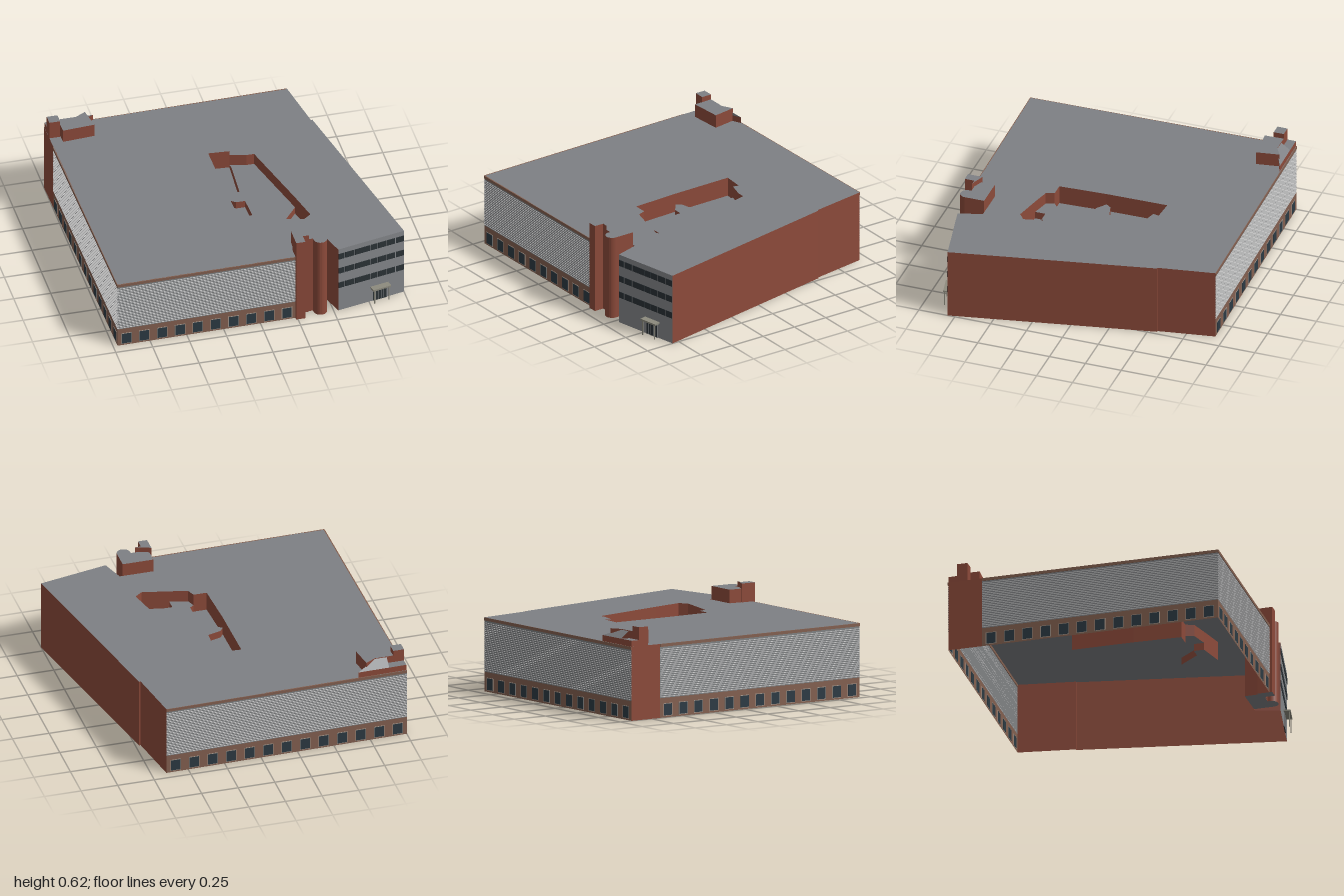
import * as THREE from 'three';

const mat = (color) => new THREE.MeshStandardMaterial({ color, side: THREE.DoubleSide, flatShading: true });
const M = {
  roof: mat(0x7e8084), brick: mat(0x8c4a3a), base: mat(0x836050), metal: mat(0x808284),
  slat: mat(0xc4c6c8), glass: mat(0x2c3a43), frame: mat(0xa3958a), office: mat(0x84878a),
  dark: mat(0x2b3236), canopy: mat(0x8d8b7e),
};
const H = 0.49;

function add(parent, name, geo, material, x = 0, y = 0, z = 0) {
  const m = new THREE.Mesh(geo, material);
  m.name = name;
  m.position.set(x, y, z);
  parent.add(m);
  return m;
}

// plan points are [x, z]; shapes are drawn in x, -z and laid flat
const plan = (pts) => new THREE.Shape(pts.map(([x, z]) => new THREE.Vector2(x, -z)));

function slab(parent, name, pts, y, hole) {
  const s = plan(pts);
  if (hole) s.holes.push(plan(hole));
  add(parent, name, new THREE.ShapeGeometry(s).rotateX(-Math.PI / 2), M.roof, 0, y);
}

function prism(parent, name, pts, y0, y1) {
  const g = new THREE.ExtrudeGeometry(plan(pts), { depth: y1 - y0, bevelEnabled: false });
  add(parent, name, g.rotateX(-Math.PI / 2), [M.roof, M.brick], 0, y0);
}

// wall frame: local x runs from a to b, local z points outwards
function wall(parent, name, a, b) {
  const g = new THREE.Group();
  const dx = b[0] - a[0], dz = b[1] - a[1];
  g.name = name;
  g.position.set(a[0], 0, a[1]);
  g.rotation.y = Math.atan2(-dz, dx);
  g.userData.len = Math.hypot(dx, dz);
  parent.add(g);
  return g;
}

function panel(g, name, x0, x1, y0, y1, material, z = 0) {
  add(g, name, new THREE.PlaneGeometry(x1 - x0, y1 - y0), material, (x0 + x1) / 2, (y0 + y1) / 2, z);
}

function bar(g, name, x0, x1, y0, y1, z0, z1, material) {
  add(g, name, new THREE.BoxGeometry(x1 - x0, y1 - y0, z1 - z0), material,
    (x0 + x1) / 2, (y0 + y1) / 2, (z0 + z1) / 2);
}

function brickWall(parent, name, a, b, y0 = 0, y1 = H) {
  const g = wall(parent, name, a, b);
  panel(g, name + 'Face', 0, g.userData.len, y0, y1, M.brick);
}

// closed run of brick walls
function ring(parent, name, pts, y0, y1) {
  pts.forEach((p, i) => brickWall(parent, name, p, pts[(i + 1) % pts.length], y0, y1));
}

// facade with a windowed base, slatted cladding and a cornice
function slattedWall(parent, name, a, b, count) {
  const g = wall(parent, name, a, b), L = g.userData.len;
  panel(g, 'base', 0, L, 0, 0.13, M.base);
  panel(g, 'cladding', 0, L, 0.13, 0.47, M.metal);
  bar(g, 'cornice', 0, L, 0.47, H, -0.004, 0.004, M.base);
  const rows = 26;
  for (let i = 0; i < rows; i++) {
    const y = 0.137 + (i * 0.328) / rows;
    bar(g, 'slat', 0, L, y, y + 0.004, 0, 0.003, M.slat);
  }
  const step = L / count;
  for (let i = 0; i < count; i++) {
    const x = (i + 0.5) * step;
    bar(g, 'windowFrame', x - 0.036, x + 0.036, 0.01, 0.094, -0.002, 0.002, M.frame);
    bar(g, 'window', x - 0.032, x + 0.032, 0.014, 0.09, -0.003, 0.003, M.glass);
  }
}

// office front with window bands, entrance and canopy
function officeFront(parent, a, b) {
  const g = wall(parent, 'officeFront', a, b), L = g.userData.len;
  panel(g, 'officeFace', 0, L, 0, H, M.office);
  const splits = [0, 0.1, 0.25, 0.49, 0.6, 0.73, 0.87, 1];
  for (const y of [0.18, 0.296, 0.41]) {
    for (let i = 0; i < 7; i++) {
      bar(g, 'officeWindow', splits[i] * L + 0.003, splits[i + 1] * L - 0.003, y, y + 0.043, -0.002, 0.003, M.dark);
    }
  }
  bar(g, 'entrance', 0.25, 0.35, 0, 0.1, -0.002, 0.004, M.dark);
  for (let i = 0; i <= 5; i++) {
    bar(g, 'entranceMullion', 0.249 + i * 0.02, 0.252 + i * 0.02, 0, 0.1, 0, 0.006, M.office);
  }
  bar(g, 'canopy', 0.235, 0.365, 0.104, 0.116, 0, 0.045, M.canopy);
  for (const x of [0.245, 0.35]) bar(g, 'canopyPost', x, x + 0.006, 0, 0.104, 0.034, 0.04, M.canopy);
}

export function createModel() {
  const root = new THREE.Group();
  root.name = 'building';

  // corners of the plan
  const fl = [-0.97, 0.93], bl = [-1, -0.91], br = [0.65, -0.94], fr = [1, 0.8];
  const leftSplit = [-0.996, -0.68], jogA = [0.715, -0.56], jogB = [0.725, -0.56];
  const bayL = [0.24, 0.912], bayBL = [0.25, 0.74], bayBR = [0.48, 0.74], officeL = [0.53, 0.9];

  // sunken court outline, clockwise from its back corner
  const court = [[-0.03, -0.36], [0.11, -0.35], [0.1, -0.31], [0.21, -0.28], [0.26, -0.28], [0.4, 0.26],
    [0.45, 0.47], [0.4, 0.51], [0.22, 0.47], [0.1, 0.44], [0.08, 0.385], [-0.01, 0.385], [-0.025, 0.06]];

  // roof and outer walls
  slab(root, 'roof', [fl, bayL, bayBL, bayBR, officeL, fr, jogB, jogA, br, bl, leftSplit], H, court);
  slattedWall(root, 'frontWall', fl, bayL, 10);
  slattedWall(root, 'backWall', br, bl, 13);
  slattedWall(root, 'leftWall', leftSplit, fl, 13);
  brickWall(root, 'leftBrickWall', bl, leftSplit);
  brickWall(root, 'rightWall', fr, jogB);
  brickWall(root, 'rightWallJog', jogB, jogA);
  brickWall(root, 'rightWallBack', jogA, br);
  brickWall(root, 'bayWall', bayL, bayBL);
  brickWall(root, 'bayWall', bayBL, bayBR);
  brickWall(root, 'bayWall', bayBR, officeL);
  officeFront(root, officeL, fr);

  // court: upper floor with three deeper wells
  const mid = 0.41, low = 0.36;
  const wells = [
    [[-0.03, -0.36], [0.11, -0.35], [0.09, 0], [0, 0.025], [-0.025, 0.06]],
    [[-0.025, 0.06], [0.04, 0.11], [0.1, 0.11], [0.11, 0.36], [0.08, 0.385], [-0.01, 0.385]],
    [[0.22, 0.47], [0.22, 0.4], [0.29, 0.4], [0.4, 0.26], [0.45, 0.47], [0.4, 0.51]],
  ];
  ring(root, 'courtWall', court, mid, H);
  for (const w of wells) {
    ring(root, 'wellWall', w, low, mid);
    slab(root, 'wellFloor', w, low);
  }
  slab(root, 'courtFloor', [[0.11, -0.35], [0.1, -0.31], [0.21, -0.28], [0.26, -0.28], [0.4, 0.26], [0.29, 0.4],
    [0.22, 0.4], [0.22, 0.47], [0.1, 0.44], [0.08, 0.385], [0.11, 0.36], [0.1, 0.11], [0.04, 0.11],
    [-0.025, 0.06], [0, 0.025], [0.09, 0]], mid);

  // brick stair bay with a rounded front
  const bay = [[0.25, 0.74], [0.25, 0.86], [0.37, 0.86]];
  for (let i = 0; i <= 12; i++) {
    const t = Math.PI * (1 - i / 12);
    bay.push([0.415 + 0.045 * Math.cos(t), 0.875 + 0.045 * Math.sin(t)]);
  }
  bay.push([0.46, 0.74]);
  prism(root, 'stairBay', bay, 0, 0.58);
  prism(root, 'stairTower', [[0.238, 0.83], [0.238, 0.932], [0.3, 0.932], [0.3, 0.866], [0.34, 0.866], [0.31, 0.858]], 0, 0.615);

  // rooftop penthouse at the back corner
  prism(root, 'penthouse', [[-0.92, -0.72], [-0.705, -0.735], [-0.73, -0.89], [-0.8, -0.85], [-0.925, -0.85]], H, 0.58);
  prism(root, 'penthouseTower', [[-0.998, -0.78], [-0.925, -0.78], [-0.925, -0.85], [-0.998, -0.85]], H, 0.615);
  prism(root, 'penthouseStep', [[-0.998, -0.85], [-0.89, -0.85], [-0.88, -0.91], [-0.998, -0.908]], H, 0.53);

  // lean-to roof falling from the penthouse towards the back edge
  const p = [[-0.88, 0.53, -0.91], [-0.67, 0.53, -0.913], [-0.73, 0.53, -0.885], [-0.8, 0.575, -0.85], [-0.88, 0.575, -0.85]];
  const lean = new THREE.BufferGeometry().setFromPoints(p.map((v) => new THREE.Vector3(...v)));
  lean.setIndex([0, 3, 1, 1, 3, 2, 0, 4, 3]);
  lean.computeVertexNormals();
  add(root, 'leanToRoof', lean, M.roof);
  brickWall(root, 'leanToWall', [-0.67, -0.913], [-0.88, -0.91], H, 0.53);
  brickWall(root, 'leanToWall', [-0.73, -0.885], [-0.67, -0.913], H, 0.53);
  return root;
}
